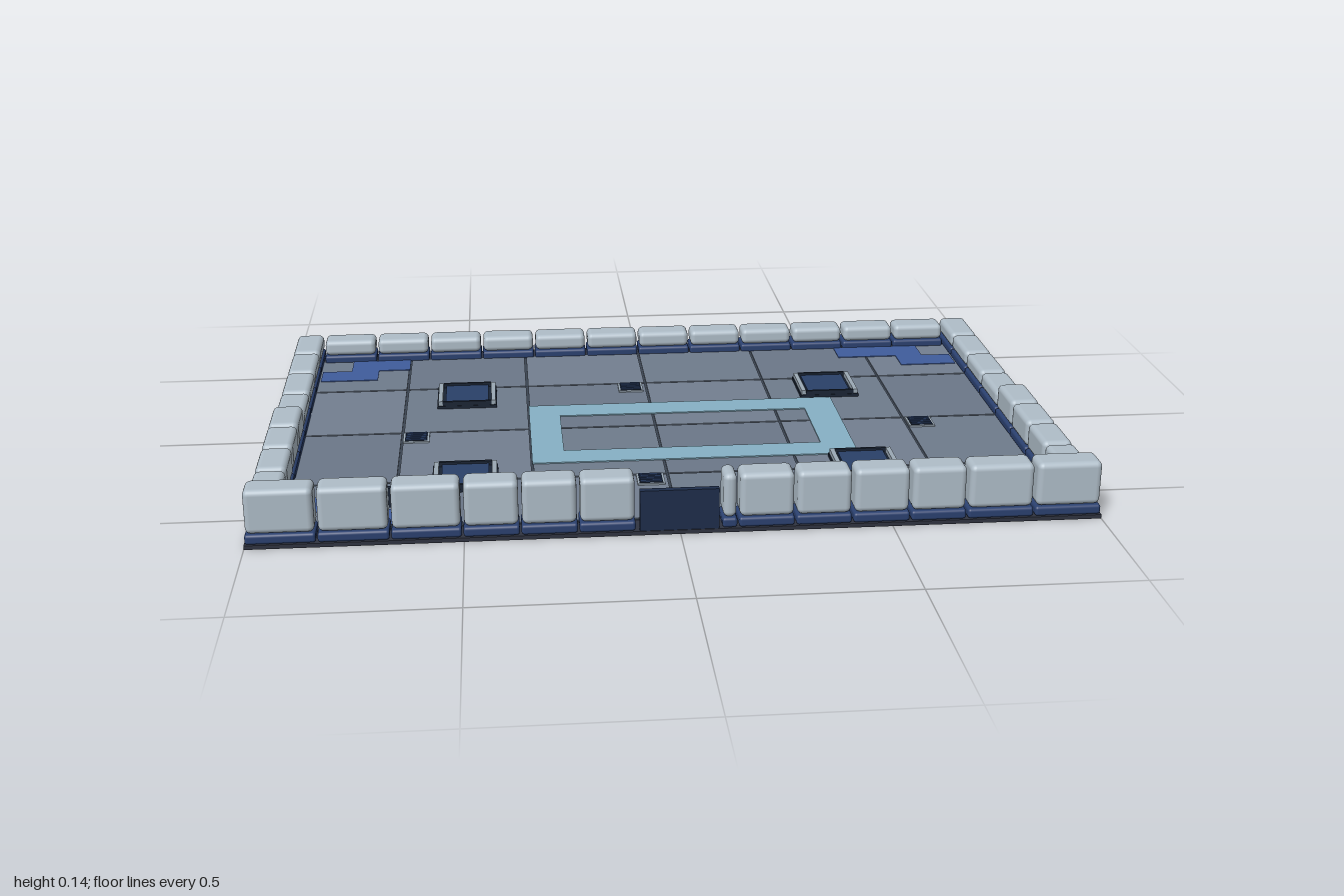
import * as THREE from 'three';
import { RoundedBoxGeometry } from 'three/addons/geometries/RoundedBoxGeometry.js';

const mat = (color) => new THREE.MeshStandardMaterial({ color });
const M = {
  base: mat(0x2f3340), seam: mat(0x3a4350), wall: mat(0xafbdc8), trim: mat(0x2b4170),
  navy: mat(0x2a4068), dark: mat(0x1a2434), door: mat(0x1e2d4a), frame: mat(0x9aa8b4),
  stripe: mat(0x86b0c4), patch: mat(0x3f5c9c), screen: mat(0x4fa3c7),
};
const tileMats = [0x6f7b8c, 0x737f90, 0x6b7788].map(mat);
const FLOOR = 0.014;

// Box given by its extents; r > 0 rounds the edges
function box(parent, name, [x0, x1], [y0, y1], [z0, z1], material, r = 0) {
  const s = [x1 - x0, y1 - y0, z1 - z0];
  const geo = r ? new RoundedBoxGeometry(...s, 3, Math.min(r, ...s.map((v) => v * 0.45)))
    : new THREE.BoxGeometry(...s);
  const mesh = new THREE.Mesh(geo, material);
  mesh.position.set((x0 + x1) / 2, (y0 + y1) / 2, (z0 + z1) / 2);
  mesh.name = name;
  parent.add(mesh);
  return mesh;
}

function group(parent, name, x = 0, z = 0) {
  const g = new THREE.Group();
  g.name = name;
  g.position.set(x, 0, z);
  parent.add(g);
  return g;
}

// Wall block standing on its navy footing
function wallBlock(parent, xs, zs, top) {
  const inset = ([a, b], d) => [a + d, b - d];
  box(parent, 'footing', inset(xs, 0.002), [0.01, 0.034], inset(zs, 0.002), M.trim, 0.007);
  box(parent, 'wallBlock', inset(xs, 0.004), [0.034, top], inset(zs, 0.004), M.wall, 0.014);
}

// Floor hatch: navy panel between two pale rails and two dark end bars
function hatch(parent, x, z) {
  const g = group(parent, 'floorHatch', x, z);
  box(g, 'hatchBed', [-0.081, 0.081], [FLOOR, 0.022], [-0.078, 0.078], M.dark);
  box(g, 'hatchPanel', [-0.058, 0.058], [0.022, 0.028], [-0.068, 0.06], M.navy);
  for (const s of [-1, 1]) {
    const rail = box(g, 'hatchRail', [-0.006, 0.006], [0.022, 0.034], [-0.074, 0.074], M.frame);
    rail.position.x = s * 0.072;
    const bar = box(g, 'hatchEndBar', [-0.066, 0.066], [0.022, 0.034], [-0.004, 0.004], M.dark);
    bar.position.z = s * 0.073;
  }
}

// Small square floor vent with slats
function vent(parent, x, z) {
  const g = group(parent, 'floorVent', x, z);
  box(g, 'ventFrame', [-0.034, 0.034], [FLOOR, 0.018], [-0.034, 0.034], M.frame);
  box(g, 'ventBed', [-0.029, 0.029], [FLOOR, 0.019], [-0.029, 0.029], M.dark);
  for (let i = 0; i < 4; i++) {
    const c = -0.021 + i * 0.014;
    box(g, 'ventSlat', [-0.027, 0.027], [0.018, 0.022], [c - 0.004, c + 0.004], M.navy);
  }
}

export function createModel() {
  const model = new THREE.Group();
  model.name = 'walledRoom';
  box(model, 'basePlate', [-1, 1], [0, 0.01], [-0.666, 0.666], M.base);

  // Floor tiles over a dark seam layer
  const floor = group(model, 'floor');
  box(floor, 'seamLayer', [-0.93, 0.93], [0.009, 0.0115], [-0.6, 0.6], M.seam);
  const xs = [-0.93, -2 / 3, -1 / 3, 0, 1 / 3, 2 / 3, 0.93];
  const zs = [-0.6, -1 / 3, 0, 1 / 3, 0.6];
  for (let i = 0; i < 6; i++) for (let j = 0; j < 4; j++) {
    box(floor, 'floorTile', [xs[i] + 0.003, xs[i + 1] - 0.003], [0.011, FLOOR],
      [zs[j] + 0.003, zs[j + 1] - 0.003], tileMats[(i * 2 + j) % 3]);
  }

  // Painted rectangle
  const ring = group(model, 'floorMarking');
  const paint = [FLOOR, FLOOR + 0.003];
  box(ring, 'markingBack', [-0.333, 0.5], paint, [-0.167, -0.085], M.stripe);
  box(ring, 'markingFront', [-0.333, 0.5], paint, [0.165, 0.245], M.stripe);
  box(ring, 'markingRight', [-0.333, -0.25], paint, [-0.085, 0.165], M.stripe);
  box(ring, 'markingLeft', [0.415, 0.5], paint, [-0.085, 0.165], M.stripe);

  // Blue corner patches
  const patches = group(model, 'cornerPatches');
  for (const [x0, x1, z0, z1] of [
    [-0.833, -0.667, -0.585, -0.5], [-0.915, -0.755, -0.5, -0.42],
    [0.585, 0.833, -0.585, -0.5], [0.755, 0.915, -0.5, -0.42],
    [-0.915, -0.755, 0.415, 0.5], [-0.815, -0.667, 0.5, 0.585],
    [0.665, 0.833, 0.5, 0.585],
  ]) box(patches, 'cornerPatch', [x0, x1], [FLOOR, FLOOR + 0.002], [z0, z1], M.patch);

  for (const x of [-0.5, 0.5]) for (const z of [-0.25, 0.33]) hatch(model, x, z);
  for (const [x, z] of [[-0.045, -0.295], [-0.045, 0.37], [-0.63, 0.04], [0.705, 0.04]]) vent(model, x, z);

  // Front wall: tall blocks either side of the doorway, with a narrow jamb
  const front = group(model, 'frontWall');
  for (const edges of [
    [-1, -0.835, -0.668, -0.503, -0.37, -0.236, -0.102],
    [0.135, 0.27, 0.405, 0.542, 0.677, 0.838, 1],
  ]) for (let i = 0; i < 6; i++) wallBlock(front, [edges[i], edges[i + 1]], [0.583, 0.666], 0.142);
  wallBlock(front, [0.096, 0.135], [0.583, 0.666], 0.142);
  box(front, 'door', [-0.095, 0.09], [0.01, 0.11], [0.648, 0.664], M.door);

  // Side walls: four medium blocks in front, four low ones behind
  const sideZ = [-0.666, -0.5, -0.333, -0.167, 0, 0.146, 0.292, 0.438, 0.583];
  for (const s of [-1, 1]) {
    const side = group(model, s > 0 ? 'leftWall' : 'rightWall');
    for (let i = 0; i < 8; i++) {
      wallBlock(side, s > 0 ? [0.917, 1] : [-1, -0.917], [sideZ[i], sideZ[i + 1]], i < 4 ? 0.078 : 0.104);
    }
  }

  // Low back wall
  const back = group(model, 'backWall');
  const step = 1.834 / 12;
  for (let i = 0; i < 12; i++) {
    wallBlock(back, [-0.917 + i * step, -0.917 + (i + 1) * step], [-0.666, -0.583], 0.078);
  }

  // Fittings on the inner face of the front wall
  const fittings = group(model, 'wallFittings');
  box(fittings, 'wideDisplayFrame', [-0.77, -0.54], [0.06, 0.108], [0.577, 0.59], M.dark);
  box(fittings, 'wideDisplay', [-0.755, -0.555], [0.068, 0.1], [0.575, 0.58], M.frame);
  box(fittings, 'consoleFrame', [-0.34, -0.25], [0.06, 0.11], [0.577, 0.59], M.dark);
  box(fittings, 'consoleScreen', [-0.325, -0.265], [0.07, 0.1], [0.574, 0.58], M.screen);
  const path = new THREE.CatmullRomCurve3([[0.77, 0.092], [0.6, 0.092], [0.565, 0.088], [0.55, 0.07], [0.55, 0.04]]
    .map(([x, y]) => new THREE.Vector3(x, y, 0.579)));
  const pipe = new THREE.Mesh(new THREE.TubeGeometry(path, 20, 0.005, 8), M.dark);
  pipe.name = 'wallPipe';
  fittings.add(pipe);

  return model;
}
